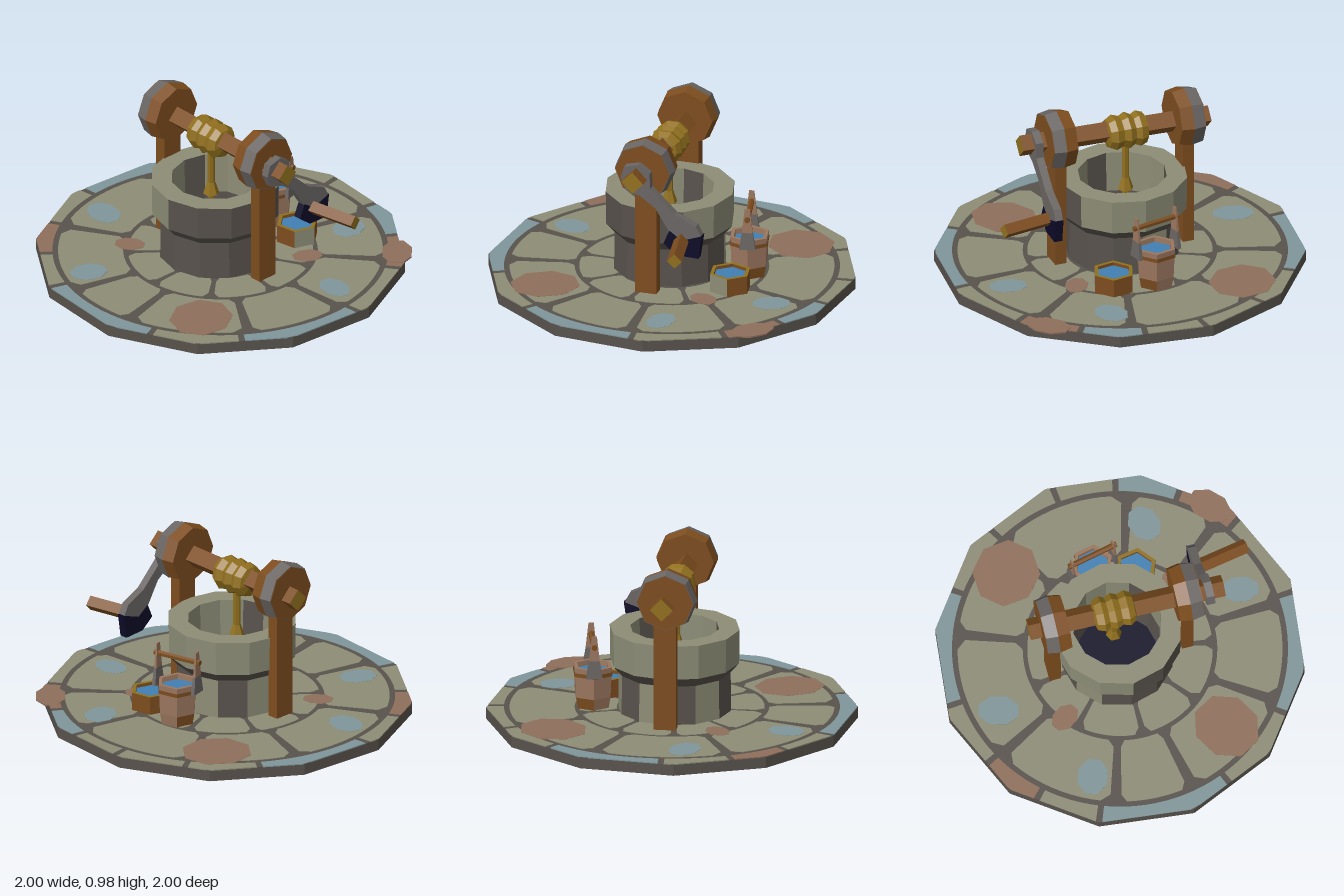
import * as THREE from 'three';

const mat = (name, color) => new THREE.MeshStandardMaterial({ name, color, flatShading: true, side: THREE.DoubleSide });
const M = {
  stone: mat('paleStone', 0x8c8c76), mortar: mat('darkMortar', 0x58524c), teal: mat('tealStone', 0x80969a),
  clay: mat('clayStone', 0x8f6e5b), water: mat('water', 0x4180b4), wood: mat('wood', 0x7d4d1e),
  gold: mat('rope', 0x91701e), navy: mat('darkness', 0x0d0b28), iron: mat('iron', 0x6a6664), pale: mat('paleWood', 0x9a765e),
};
const rad = THREE.MathUtils.degToRad;

function add(parent, name, geo, material, x = 0, y = 0, z = 0) {
  const m = new THREE.Mesh(geo, material);
  m.name = name;
  m.position.set(x, y, z);
  parent.add(m);
  return m;
}

// Flat plate lying in the ground plane from [x, z] points
function plate(points, y0, depth) {
  const s = new THREE.Shape(points.map(([x, z]) => new THREE.Vector2(x, -z)));
  return new THREE.ExtrudeGeometry(s, { depth, bevelEnabled: false }).rotateX(-Math.PI / 2).translate(0, y0, 0);
}

// Open ring of facets; pick(i) gives the material index for facet i
function band(r0, r1, y0, y1, sides, start = 0, pick = null) {
  const g = new THREE.CylinderGeometry(r1, r0, y1 - y0, sides, 1, true, rad(start)).translate(0, (y0 + y1) / 2, 0);
  if (pick) {
    g.clearGroups();
    for (let i = 0; i < sides; i++) g.addGroup(i * 6, 6, pick(i));
  }
  return g;
}
const flatRing = (r0, r1, y, sides, start = 0) => band(r1, r0, y, y, sides, start);
const disc = (r, y, sides) => new THREE.CylinderGeometry(r, r, 0.004, sides).translate(0, y, 0);

// Distance from the centre to the edge of the twelve-sided base
const edge = (a) => 0.978 / Math.cos(rad((((a + 9) % 30) + 30) % 30 - 15));

function buildBase() {
  const g = new THREE.Group();
  g.name = 'pavedBase';
  add(g, 'baseRim', band(1.012, 1.012, 0, 0.064, 12, 9), M.mortar);
  add(g, 'baseTop', flatRing(0.26, 1.012, 0.064, 12, 9), M.mortar);

  // Stones bounded by two angles and two radii, with eased corners
  const cell = (name, a0, a1, inner, outer, m) => {
    const pts = [], n = 12;
    for (let i = 0; i <= n; i++) pts.push([a0 + (a1 - a0) * i / n, outer, i]);
    for (let i = n; i >= 0; i--) pts.push([a0 + (a1 - a0) * i / n, inner, i]);
    add(g, name, plate(pts.map(([a, r, i]) => {
      const ease = (i === 0 || i === n) && outer !== edge ? (r === outer ? -0.04 : 0.04) : 0;
      const d = (typeof r === 'function' ? r(a) : r) + ease;
      return [d * Math.cos(rad(a)), d * Math.sin(rad(a))];
    }), 0.061, 0.006), m);
  };
  const rim = [[-94, -56, 'teal'], [-54, -32, 'stone'], [-30, -8, 'stone'], [-6, 12, 'stone'], [14, 33, 'teal'],
    [35, 54, 'clay'], [56, 84, 'stone'], [86, 126, 'teal'], [128, 156, 'stone'], [158, 200, 'teal'],
    [202, 221, 'stone'], [223, 241, 'clay'], [243, 264, 'stone']];
  rim.forEach(([a, b, m]) => cell('rimStone', a, b, 0.915, edge, M[m]));
  const joints = [-119, -70, -31, 17, 50, 87, 124, 168, 196, 241];
  for (let i = 0; i < joints.length - 1; i++) {
    cell('pavingStone', joints[i] + 2, joints[i + 1] - 2, 0.53, 0.885, M.stone);
  }
  [-100, -62, -20, 20, 62, 100, 140, 180, 222, 260].forEach((a, i, all) => {
    if (i) cell('innerStone', all[i - 1] + 2, a - 2, 0.3, 0.505, M.stone);
  });

  // Coloured stones set among the paving: x, z, half width, half depth, turn
  const inset = (x, z, w, d, turn, m, name) => {
    const pts = [];
    for (let i = 0; i < 8; i++) {
      const a = rad(22.5 + i * 45), u = w * 1.08 * Math.cos(a), v = d * 1.08 * Math.sin(a), t = rad(turn);
      pts.push([x + u * Math.cos(t) - v * Math.sin(t), z + u * Math.sin(t) + v * Math.cos(t)]);
    }
    add(g, name, plate(pts, 0.0598, 0.0084), m);
  };
  [[-0.18, -0.73, 0.08, 0.11, 15], [-0.68, -0.33, 0.1, 0.08, 20], [0.67, 0.31, 0.1, 0.08, -20], [0.17, 0.72, 0.07, 0.1, 10]]
    .forEach((p) => inset(...p, M.teal, 'tealInset'));
  [[0.58, -0.49, 0.18, 0.17, 40], [-0.58, 0.45, 0.18, 0.16, -30], [0.68, 0.68, 0.12, 0.08, -45],
    [-0.31, -0.39, 0.06, 0.08, -35], [0.3, 0.37, 0.08, 0.06, 30]]
    .forEach((p) => inset(...p, M.clay, 'clayInset'));
  return g;
}

function buildWell() {
  const g = new THREE.Group();
  g.name = 'well';
  g.position.set(-0.018, 0, -0.02);
  const two = [M.stone, M.mortar];
  // Front-left facets are bare mortar, the others mostly stone
  add(g, 'wellLip', band(0.355, 0.358, 0.34, 0.53, 12, 0, (i) => (i === 0 || i >= 9 ? 1 : 0)), two);
  add(g, 'lipUnderside', band(0.308, 0.355, 0.285, 0.34, 12), M.mortar);
  add(g, 'wellWall', band(0.312, 0.308, 0, 0.285, 12, 0, (i) => (i === 3 || i === 5 || i === 7 ? 0 : 1)), two);
  add(g, 'lipTop', flatRing(0.245, 0.358, 0.53, 12), M.stone);
  add(g, 'innerWallUpper', band(0.238, 0.245, 0.3, 0.53, 12, 0, (i) => (i % 4 === 1 ? 1 : 0)), two);
  add(g, 'innerWallLower', band(0.225, 0.238, 0.05, 0.3, 12), M.mortar);
  add(g, 'wellFooting', flatRing(0.225, 0.312, 0.03, 12), M.stone);
  add(g, 'wellDepth', disc(0.232, 0.05, 12), M.navy);
  return g;
}

// Bar with a diamond section running between two points near the z direction
function diamondBar(parent, name, from, to, r) {
  const a = new THREE.Vector3(...from), b = new THREE.Vector3(...to), d = b.clone().sub(a);
  const bar = add(parent, name, new THREE.CylinderGeometry(r, r, d.length(), 4).rotateX(Math.PI / 2), [M.wood, M.gold, M.gold]);
  bar.position.copy(a).add(b).multiplyScalar(0.5);
  bar.lookAt(b);
}

function buildWinch() {
  const g = new THREE.Group();
  g.name = 'winch';
  for (const side of [1, -1]) {
    const z = side > 0 ? 0.36 : -0.385;
    add(g, 'post', new THREE.BoxGeometry(0.122, 0.8, 0.065), M.wood, -0.023, 0.4, z);
    // Eight-sided bearing with an iron outer band
    const hub = new THREE.Group();
    hub.name = 'bearing';
    hub.position.set(-0.03, 0.805, z);
    hub.rotation.x = side * Math.PI / 2;
    add(hub, 'bearingInner', new THREE.CylinderGeometry(0.17, 0.157, 0.07, 8), M.wood, 0, -0.035, 0);
    add(hub, 'bearingBand', new THREE.CylinderGeometry(0.158, 0.17, 0.068, 8), M.iron, 0, 0.034, 0);
    add(hub, 'bearingFace', disc(0.155, 0.069, 8), M.wood);
    g.add(hub);
  }
  diamondBar(g, 'axle', [-0.02, 0.785, -0.52], [-0.042, 0.795, 0.57], 0.063);

  // Rope coil and hanging end
  const coil = [[0.04, -0.165], [0.085, -0.15], [0.1, -0.11], [0.084, -0.08], [0.103, -0.045], [0.086, -0.01], [0.1, 0.03], [0.08, 0.065], [0.04, 0.075]];
  add(g, 'ropeCoil', new THREE.LatheGeometry(coil.map(([r, z]) => new THREE.Vector2(r, z)), 9).rotateX(Math.PI / 2), M.gold, -0.03, 0.78, 0);
  add(g, 'hangingRope', new THREE.CylinderGeometry(0.021, 0.021, 0.34, 6), M.gold, -0.03, 0.57, -0.043);
  add(g, 'ropeKnot', new THREE.CylinderGeometry(0.022, 0.045, 0.07, 6), M.gold, -0.03, 0.46, -0.043);

  // Crank arm with a dark foot
  const slab = (pts, depth) => new THREE.ExtrudeGeometry(new THREE.Shape(pts.map((p) => new THREE.Vector2(...p))), { depth, bevelEnabled: false });
  add(g, 'crankArm', slab([[-0.13, 0.79], [-0.1, 0.72], [-0.02, 0.695], [0.07, 0.63], [0.15, 0.5], [0.22, 0.46], [0.33, 0.5],
    [0.3, 0.555], [0.18, 0.61], [0.04, 0.745], [0.035, 0.83], [-0.03, 0.875], [-0.11, 0.855]], 0.044), M.iron, 0, 0, 0.46);
  add(g, 'crankFoot', slab([[0.115, 0.43], [0.19, 0.37], [0.315, 0.365], [0.335, 0.5], [0.22, 0.46], [0.15, 0.51]], 0.046), M.navy, 0, 0, 0.459);
  diamondBar(g, 'crankHandle', [0.215, 0.46, 0.49], [0.268, 0.46, 0.78], 0.042);
  return g;
}

function buildTallBucket() {
  const g = new THREE.Group();
  g.name = 'tallBucket';
  g.position.set(0.43, 0, -0.043);
  g.rotation.y = 0.22;
  add(g, 'bucketBase', band(0.085, 0.108, 0, 0.13, 6, 0, (i) => i % 2), [M.wood, M.pale]);
  add(g, 'bucketSide', band(0.108, 0.116, 0.13, 0.3, 6), M.pale);
  add(g, 'bucketHoop', band(0.118, 0.119, 0.25, 0.272, 6), M.wood);
  add(g, 'bucketRim', flatRing(0.094, 0.116, 0.3, 6), M.pale);
  add(g, 'bucketInside', band(0.09, 0.094, 0.25, 0.3, 6), M.pale);
  add(g, 'bucketWater', disc(0.092, 0.27, 6), M.water);
  add(g, 'bucketBottom', disc(0.085, 0.002, 6), M.wood);
  // Tapered ears carrying the handle bar
  for (const z of [-0.125, 0.125]) {
    add(g, 'earLower', new THREE.CylinderGeometry(0.042, 0.064, 0.1, 4, 1, false, Math.PI / 4).scale(1, 1, 0.25), M.iron, 0, 0.31, z);
    add(g, 'earUpper', new THREE.CylinderGeometry(0.02, 0.042, 0.14, 4, 1, false, Math.PI / 4).scale(1, 1, 0.25), M.pale, 0, 0.43, z);
  }
  add(g, 'handleBar', new THREE.CylinderGeometry(0.016, 0.016, 0.29, 6).rotateX(Math.PI / 2), M.wood, 0, 0.44, 0);
  return g;
}

function buildLowBucket() {
  const g = new THREE.Group();
  g.name = 'lowBucket';
  g.position.set(0.395, 0, 0.19);
  add(g, 'tubSide', band(0.118, 0.118, 0, 0.17, 6, 10, (i) => (i === 5 ? 1 : 0)), [M.wood, M.stone]);
  add(g, 'tubRim', flatRing(0.096, 0.118, 0.17, 6, 10), M.gold);
  add(g, 'tubInside', band(0.096, 0.096, 0.14, 0.17, 6, 10), M.wood);
  add(g, 'tubWater', disc(0.098, 0.15, 6).rotateY(rad(10)), M.water);
  add(g, 'tubBottom', disc(0.116, 0.002, 6).rotateY(rad(10)), M.wood);
  return g;
}

export function createModel() {
  const model = new THREE.Group();
  model.name = 'waterWell';
  model.add(buildBase(), buildWell(), buildWinch(), buildTallBucket(), buildLowBucket());
  return model;
}
